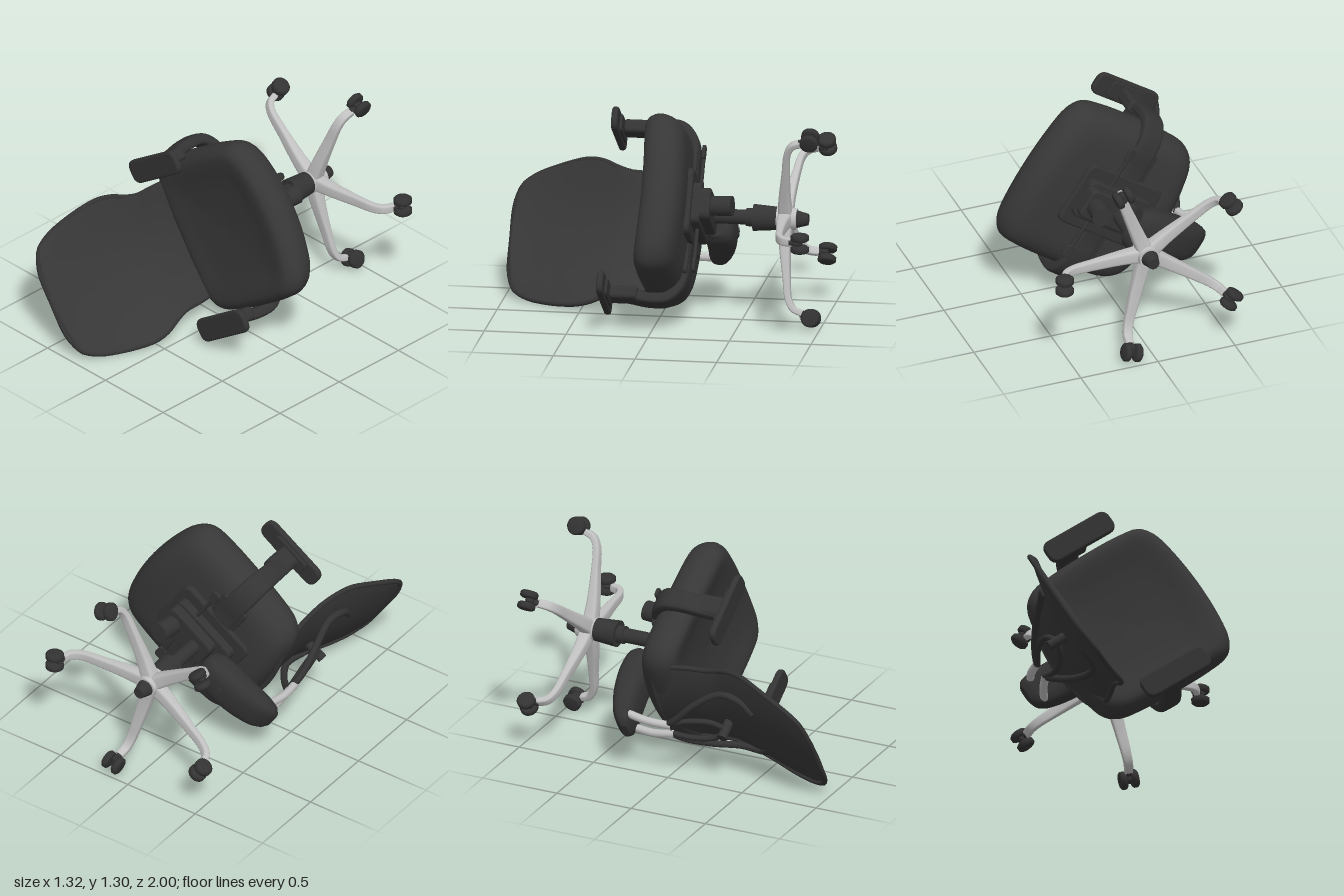
import * as THREE from 'three';

const V = (x, y, z) => new THREE.Vector3(x, y, z);
const mat = (name, color) => Object.assign(new THREE.MeshStandardMaterial({ color }), { name });
const fabric = mat('charcoal fabric', 0x373737);
const plastic = mat('black plastic', 0x333333);
const metal = mat('light grey metal', 0xc0c0c0);

function add(parent, name, geometry, material, x = 0, y = 0, z = 0) {
  const m = new THREE.Mesh(geometry, material);
  m.name = name;
  m.position.set(x, y, z);
  parent.add(m);
  return m;
}

// Skin a list of closed rings that all have the same point count
function loft(rings) {
  const n = rings[0].length, pos = [], idx = [];
  rings.forEach((r) => r.forEach((p) => pos.push(p.x, p.y, p.z)));
  for (let j = 0; j < rings.length - 1; j++) for (let i = 0; i < n; i++) {
    const a = j * n + i, b = j * n + (i + 1) % n;
    idx.push(a, b, b + n, a, b + n, a + n);
  }
  const g = new THREE.BufferGeometry();
  g.setAttribute('position', new THREE.Float32BufferAttribute(pos, 3));
  g.setIndex(idx);
  g.computeVertexNormals();
  return g;
}

// Sweep a soft rectangle along a path in the YZ plane; rows are [z, y, halfWidth, halfHeight]
function sweep(rows, power = 0.5, steps = 28, n = 24) {
  const path = new THREE.CatmullRomCurve3(rows.map((r) => V(0, r[1], r[0])));
  const size = new THREE.CatmullRomCurve3(rows.map((r) => V(r[2], r[3], 0)));
  const soft = (v) => Math.sign(v) * Math.abs(v) ** power;
  const rings = [];
  const ring = (t, k) => {
    const p = path.getPoint(t), d = path.getTangent(t), s = size.getPoint(t);
    rings.push(Array.from({ length: n }, (_, i) => {
      const a = (i / n) * Math.PI * 2, h = s.y * k * soft(Math.cos(a));
      return V(-s.x * k * soft(Math.sin(a)), p.y + d.z * h, p.z - d.y * h);
    }));
  };
  ring(0, 0); ring(0, 0.9);
  for (let j = 0; j <= steps; j++) ring(j / steps, 1);
  ring(1, 0.9); ring(1, 0);
  return loft(rings);
}

function tube(points, radius, closed = false) {
  return new THREE.TubeGeometry(new THREE.CatmullRomCurve3(points, closed), closed ? 96 : 32, radius, 10, closed);
}

// Rounded slab lying flat, centred, bevelled all round
function slab(w, h, l, r) {
  const b = Math.min(h * 0.35, 0.015), x = w / 2 - b, y = l / 2 - b, s = new THREE.Shape();
  s.moveTo(-x + r, -y).lineTo(x - r, -y).quadraticCurveTo(x, -y, x, -y + r)
    .lineTo(x, y - r).quadraticCurveTo(x, y, x - r, y)
    .lineTo(-x + r, y).quadraticCurveTo(-x, y, -x, y - r)
    .lineTo(-x, -y + r).quadraticCurveTo(-x, -y, -x + r, -y);
  const g = new THREE.ExtrudeGeometry(s, { depth: h - 2 * b, bevelSize: b, bevelThickness: b, bevelSegments: 3, curveSegments: 8 });
  g.translate(0, 0, -(h - 2 * b) / 2);
  return g.rotateX(-Math.PI / 2);
}

// Squarish cushion with bulging front and back edges, raised sides and a slight dish
function seatGeometry() {
  const half = [[0.25, 0.57], [0.41, 0.53], [0.488, 0.462], [0.512, 0.33], [0.518, 0.1], [0.51, -0.15], [0.485, -0.31], [0.42, -0.39], [0.25, -0.43]];
  const pts = [[0, 0.588], ...half, [0, -0.445], ...half.map(([x, z]) => [-x, z]).reverse()];
  const outline = new THREE.CatmullRomCurve3(pts.map(([x, z]) => V(x, 0, z)), true).getPoints(80).slice(0, 80);
  const profile = new THREE.CatmullRomCurve3([[0, -0.18], [0.5, -0.185], [0.82, -0.18], [0.95, -0.135], [1, -0.055],
    [0.975, 0.005], [0.91, 0.045], [0.82, 0.057], [0.55, 0.042], [0, 0.03]].map(([k, y]) => V(k, y, 0))).getPoints(36);
  return loft(profile.map((q) => outline.map((p) => {
    const x = p.x * q.x, z = p.z * q.x;
    return V(x, q.y + 0.03 * z + 0.17 * (x * x - 0.12), z + 0.05 * (1 - q.x));
  })));
}

// Backrest rows: height, half width, edge depth, middle depth
const backRows = [[-0.1, 0.28, -0.4, -0.44], [-0.05, 0.36, -0.36, -0.43], [0.1, 0.38, -0.33, -0.41], [0.28, 0.39, -0.32, -0.41],
  [0.42, 0.45, -0.335, -0.435], [0.52, 0.47, -0.36, -0.46], [0.7, 0.445, -0.435, -0.505], [0.86, 0.395, -0.495, -0.54],
  [0.945, 0.33, -0.525, -0.55], [0.982, 0.2, -0.545, -0.553]];

function buildBackrest(chair) {
  const wide = new THREE.CatmullRomCurve3(backRows.map((r) => V(r[1], r[0], 0))).getPoints(48);
  const deep = new THREE.CatmullRomCurve3(backRows.map((r) => V(r[2], r[3], 0))).getPoints(48);
  const ring = (i, k, dy) => Array.from({ length: 40 }, (_, j) => {
    const a = (j / 40) * Math.PI * 2, s = Math.sin(a), d = deep[i];
    return V(wide[i].x * k * s, wide[i].y + dy, d.y + (d.x - d.y) * (s * k) ** 2 + 0.024 * k * Math.cos(a));
  });
  const rings = [ring(0, 0, -0.01), ...wide.map((_, i) => ring(i, 1, 0)), ring(48, 0.6, 0.01), ring(48, 0, 0.016)];
  add(chair, 'backrest', loft(rings), fabric, -0.008, 0, 0);

  // Rim behind the edge of the backrest
  const right = wide.filter((_, i) => i % 3 === 0).map((p, i) => V(p.x - 0.006, p.y, deep[i * 3].x));
  const left = right.map((p) => V(-p.x, p.y, p.z)).reverse();
  const rim = [...right, V(0, 0.984, -0.548), ...left, V(0, -0.1, -0.44)];
  add(chair, 'backrestRim', tube(rim, 0.016, true), plastic, -0.008, 0, -0.014);

  // Looped carrier behind the backrest and its metal struts
  for (const s of [-1, 1]) {
    add(chair, 'backLoop', tube([V(s * 0.04, 0, -0.575), V(s * 0.11, 0.08, -0.555), V(s * 0.21, 0.2, -0.495),
      V(s * 0.28, 0.36, -0.43), V(s * 0.27, 0.5, -0.445), V(s * 0.2, 0.58, -0.475)], 0.022), plastic);
    add(chair, 'innerLoop', tube([V(s * 0.04, 0, -0.575), V(s * 0.09, 0.14, -0.55), V(s * 0.08, 0.28, -0.52), V(0, 0.36, -0.5)], 0.018), plastic);
    add(chair, 'backStrut', tube([V(s * 0.08, -0.3, -0.56), V(s * 0.065, -0.12, -0.585), V(s * 0.045, 0.03, -0.575)], 0.025), metal);
  }
  const knob = add(chair, 'lumbarKnob', new THREE.CylinderGeometry(0.03, 0.03, 0.13, 20), plastic, 0, 0.355, -0.5);
  knob.rotation.x = Math.PI / 2;
}

function buildArm(side) {
  const arm = new THREE.Group();
  arm.name = side > 0 ? 'leftArm' : 'rightArm';
  const post = add(arm, 'armPost', sweep([[0.525, 0.27, 0.06, 0.034], [0.535, 0.15, 0.063, 0.036], [0.555, 0.02, 0.067, 0.036],
    [0.545, -0.09, 0.072, 0.036], [0.47, -0.165, 0.075, 0.03], [0.34, -0.195, 0.075, 0.025], [0.15, -0.2, 0.075, 0.025]]), plastic);
  post.rotation.y = side * Math.PI / 2;
  add(arm, 'armSleeve', slab(0.085, 0.17, 0.135, 0.012), plastic, side * 0.53, 0.175, 0.015);
  add(arm, 'padPlate', slab(0.11, 0.02, 0.26, 0.02), plastic, side * 0.525, 0.272, 0.02);
  add(arm, 'armPad', slab(0.15, 0.04, 0.47, 0.045), plastic, side * 0.525, 0.297, 0.02);
  add(arm, 'armBracket', slab(0.2, 0.035, 0.2, 0.02), plastic, side * 0.3, -0.19, 0.0);
  return arm;
}

function buildBase(chair) {
  add(chair, 'hub', new THREE.CylinderGeometry(0.075, 0.065, 0.12, 32), metal, 0, -0.775, 0);
  add(chair, 'hubTip', new THREE.CylinderGeometry(0.055, 0.035, 0.075, 24), plastic, 0, -0.867, 0);
  add(chair, 'columnSleeve', new THREE.CylinderGeometry(0.082, 0.07, 0.155, 32), plastic, 0, -0.647, 0);
  add(chair, 'columnCollar', new THREE.CylinderGeometry(0.055, 0.055, 0.05, 32), plastic, 0, -0.55, 0);
  add(chair, 'column', new THREE.CylinderGeometry(0.045, 0.045, 0.3, 32), plastic, 0, -0.43, 0);
  const legShape = sweep([[0.03, -0.765, 0.05, 0.045], [0.15, -0.767, 0.043, 0.036], [0.35, -0.785, 0.035, 0.024],
    [0.49, -0.803, 0.03, 0.021], [0.545, -0.835, 0.028, 0.021], [0.568, -0.89, 0.026, 0.021]], 0.5);
  for (const angle of [1, 69, 144.5, 215, 285.5]) {
    const leg = new THREE.Group();
    leg.name = 'baseLeg';
    leg.rotation.y = THREE.MathUtils.degToRad(angle - 34);
    add(leg, 'legArm', legShape, metal);
    add(leg, 'casterStem', new THREE.CylinderGeometry(0.02, 0.02, 0.06, 16), plastic, 0, -0.905, 0.572);
    add(leg, 'casterHousing', slab(0.035, 0.05, 0.08, 0.012), plastic, 0, -0.93, 0.585);
    for (const s of [-1, 1]) {
      const wheel = add(leg, 'casterWheel', new THREE.LatheGeometry([[0, -0.022], [0.044, -0.022], [0.056, -0.012], [0.056, 0.012],
        [0.044, 0.022], [0, 0.022]].map(([r, y]) => new THREE.Vector2(r, y)), 28), plastic, s * 0.036, -0.944, 0.595);
      wheel.rotation.z = Math.PI / 2;
    }
    chair.add(leg);
  }
}

function buildMechanism(chair) {
  add(chair, 'mechanismPlate', slab(0.42, 0.05, 0.56, 0.04), plastic, 0, -0.2, 0.02);
  add(chair, 'mechanismStep', slab(0.26, 0.08, 0.46, 0.03), plastic, 0, -0.235, 0.03);
  add(chair, 'mechanismBody', slab(0.2, 0.12, 0.36, 0.03), plastic, 0, -0.275, 0.08);
  const knob = add(chair, 'tensionKnob', new THREE.CylinderGeometry(0.058, 0.062, 0.16, 28), plastic, 0, -0.385, 0.19);
  knob.rotation.x = -0.1;
  for (const s of [-1, 1]) {
    const rod = add(chair, 'leverRod', new THREE.CylinderGeometry(0.012, 0.012, 0.26, 12), plastic, s * 0.23, -0.25, 0.12);
    rod.rotation.z = Math.PI / 2;
    add(chair, 'leverPaddle', slab(0.09, 0.022, 0.06, 0.015), plastic, s * 0.36, -0.25, 0.12);
  }
  // Rearward spine cover carrying the backrest
  add(chair, 'spineCover', sweep([[-0.12, -0.33, 0.09, 0.06], [-0.17, -0.34, 0.12, 0.09], [-0.28, -0.34, 0.135, 0.097],
    [-0.42, -0.325, 0.135, 0.088], [-0.55, -0.295, 0.125, 0.07], [-0.62, -0.27, 0.1, 0.045], [-0.65, -0.26, 0.06, 0.02]], 0.7), plastic);
  add(chair, 'spineCap', new THREE.CylinderGeometry(0.03, 0.03, 0.01, 20), plastic, 0, -0.435, -0.3);
}

export function createModel() {
  const model = new THREE.Group();
  model.name = 'officeChair';
  const chair = new THREE.Group();
  chair.name = 'tippedChair';
  model.add(chair);

  add(chair, 'seatCushion', seatGeometry(), fabric, -0.006, 0, 0);
  buildBackrest(chair);
  chair.add(buildArm(1), buildArm(-1));
  buildMechanism(chair);
  buildBase(chair);

  // The chair lies tipped over: its up axis points along +z and its front towards upper right
  const a = THREE.MathUtils.degToRad(34), c = Math.cos(a), s = Math.sin(a);
  chair.quaternion.setFromRotationMatrix(new THREE.Matrix4().makeBasis(V(-s, c, 0), V(0, 0, 1), V(c, s, 0)));
  chair.position.set(-0.012, 0.64, 0);
  return model;
}
